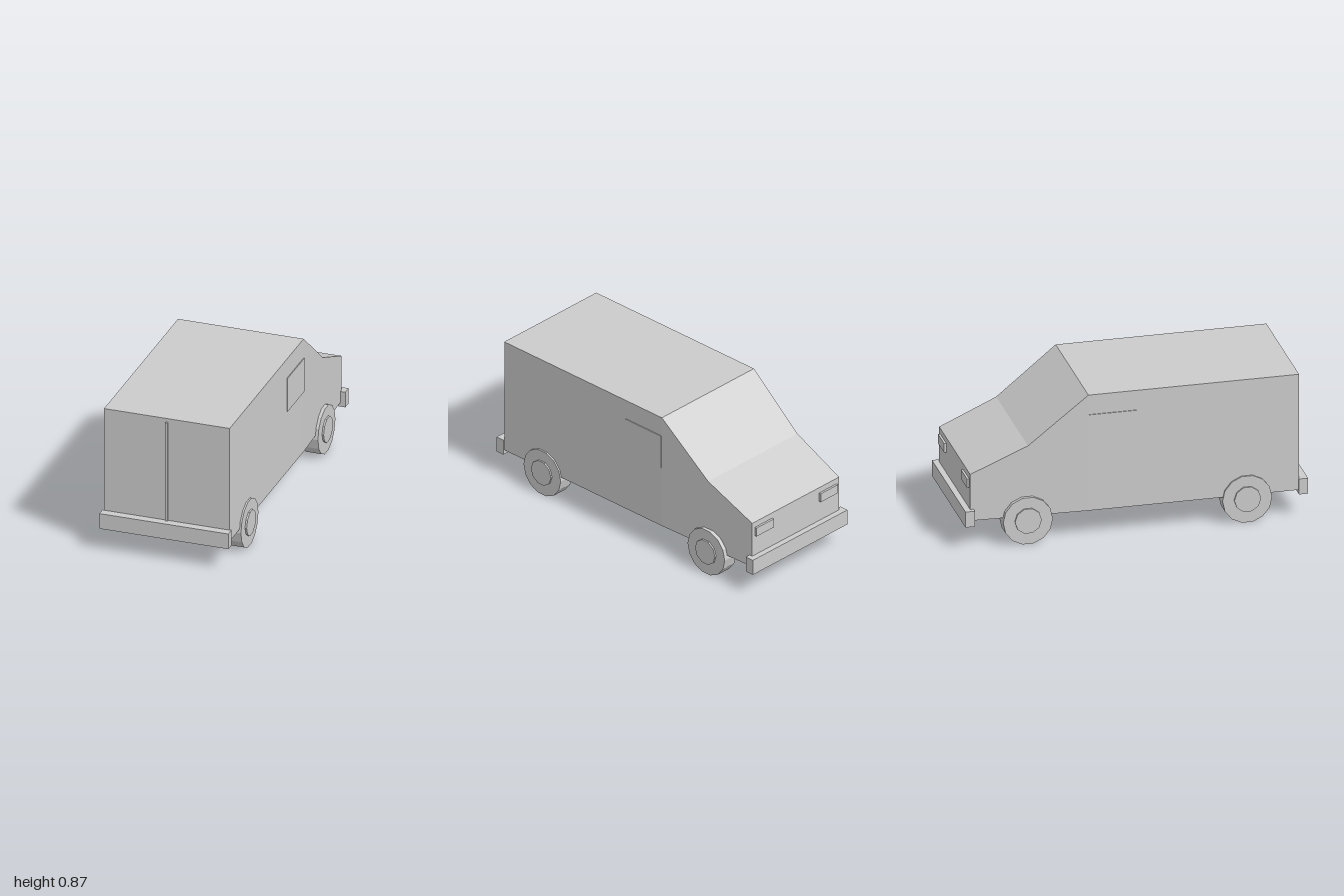
import * as THREE from 'three';

const material = new THREE.MeshStandardMaterial({ color: 0xcccccc, flatShading: true });

function add(parent, name, geometry, x = 0, y = 0, z = 0) {
  const mesh = new THREE.Mesh(geometry, material);
  mesh.name = name;
  mesh.position.set(x, y, z);
  parent.add(mesh);
  return mesh;
}

// Box given by its limits on each axis
function addBox(parent, name, [x0, x1], [y0, y1], [z0, z1]) {
  return add(parent, name, new THREE.BoxGeometry(x1 - x0, y1 - y0, z1 - z0),
    (x0 + x1) / 2, (y0 + y1) / 2, (z0 + z1) / 2);
}

// Box with one slice per station, reshaped into the van's profile
function bodyGeometry() {
  const floor = 0.165;
  const stations = [ // z, top height, half width
    [-0.965, 0.45, 0.357],
    [-0.63, 0.595, 0.367],
    [-0.28, 0.875, 0.378],
    [0.95, 0.875, 0.378],
  ];
  const box = new THREE.BoxGeometry(1, 1, 1, 1, 1, stations.length - 1);
  const p = box.attributes.position;
  for (let i = 0; i < p.count; i++) {
    const [z, top, half] = stations[Math.round((p.getZ(i) + 0.5) * (stations.length - 1))];
    p.setXYZ(i, Math.sign(p.getX(i)) * half, p.getY(i) > 0 ? top : floor, z);
  }
  const geometry = box.toNonIndexed();
  geometry.computeVertexNormals();
  return geometry;
}

export function createModel() {
  const van = new THREE.Group();
  van.name = 'van';

  add(van, 'body', bodyGeometry());

  // Bumpers at both ends, and the seam between the rear doors
  addBox(van, 'noseBumper', [-0.388, 0.388], [0.14, 0.235], [-1, -0.945]);
  addBox(van, 'tailBumper', [-0.388, 0.388], [0.14, 0.235], [0.947, 1]);
  addBox(van, 'rearDoorSeam', [-0.008, 0.008], [0.22, 0.852], [0.945, 0.962]);

  // Wheels: tyre and hub with their axes along x
  const tyre = new THREE.CylinderGeometry(0.145, 0.145, 0.093, 14).rotateZ(Math.PI / 2);
  const hub = new THREE.CylinderGeometry(0.078, 0.078, 0.05, 10).rotateZ(Math.PI / 2);

  for (const side of [-1, 1]) {
    const span = (a, b) => (side > 0 ? [a, b] : [-b, -a]);
    const label = side > 0 ? 'left' : 'right';

    addBox(van, label + 'CabWindow', span(0.36, 0.383), [0.545, 0.755], [-0.278, 0]);
    addBox(van, label + 'Headlight', span(0.193, 0.335), [0.36, 0.415], [-0.978, -0.955]);

    for (const [end, z] of [['Nose', -0.635], ['Tail', 0.645]]) {
      const wheel = new THREE.Group();
      wheel.name = label + end + 'Wheel';
      wheel.position.set(side * 0.3415, 0.143, z);
      add(wheel, 'tyre', tyre);
      add(wheel, 'hub', hub, side * 0.0315, 0.002, 0);
      van.add(wheel);
    }
  }
  return van;
}
